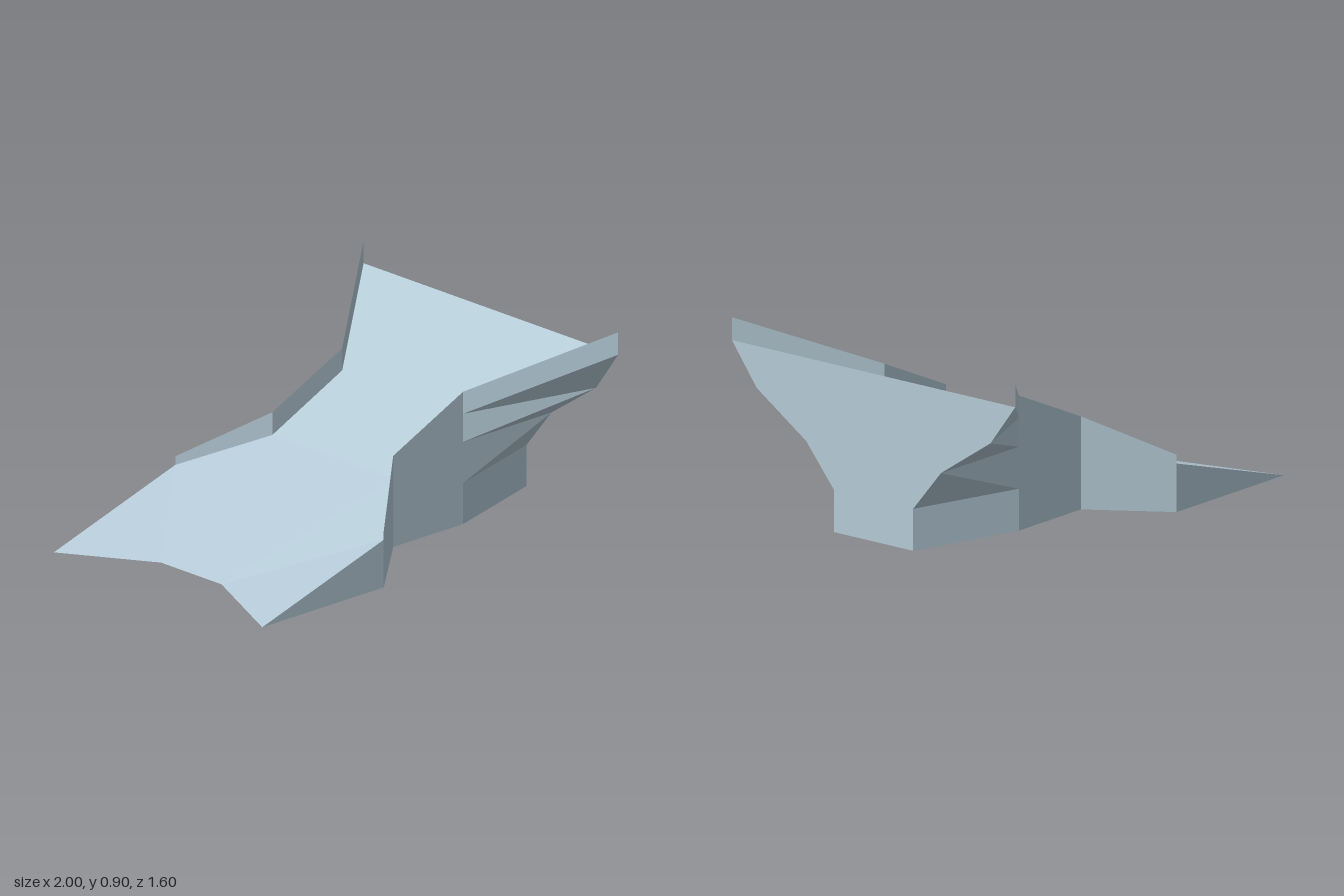
import * as THREE from 'three';

// Half-hull corner points (the +z half; the other half is mirrored)
const noseTip = [-1, 0, 0.655], notch = [-0.8, 0.025, 0.19];
const wingLow = [-0.27, 0, 0.655], wingDeck = [-0.27, 0.22, 0.655], wingRim = [-0.27, 0.26, 0.655];
const waistLow = [0.05, 0.033, 0.38], waistDeck = [0.05, 0.35, 0.38], waistRim = [0.05, 0.455, 0.38];
const hipLow = [0.47, 0.033, 0.38], hipA = [0.47, 0.223, 0.38], hipB = [0.47, 0.413, 0.38];
const hipDeck = [0.47, 0.543, 0.38], hipRim = [0.47, 0.645, 0.38];
const tailLow = [1, 0.033, 0.223], tailA = [1, 0.223, 0.223], tailB = [1, 0.415, 0.38];
const tailC = [1, 0.603, 0.66], tailDeck = [1, 0.793, 0.8], tailRim = [1, 0.897, 0.8];

// Point on the centre line level with p
const mid = ([x, y]) => [x, y, 0];

// Faces of the +z half, corners counter-clockwise from outside
const parts = {
  deck: [
    [noseTip, wingDeck, notch],
    [notch, wingDeck, waistDeck],
    [mid(notch), notch, waistDeck, mid(waistDeck)],
    [mid(waistDeck), waistDeck, hipDeck, mid(hipDeck)],
    [mid(hipDeck), hipDeck, tailDeck, mid(tailDeck)],
  ],
  sideWall: [
    [noseTip, wingLow, wingDeck],
    [wingLow, waistLow, waistRim, wingRim],
    [waistLow, hipLow, hipRim, waistRim],
  ],
  tailRim: [[hipDeck, tailDeck, tailRim, hipRim]],
  pleatedFlare: [
    [hipLow, tailLow, tailA, hipA],
    [hipA, tailA, tailB],
    [hipA, tailB, hipB],
    [hipB, tailB, tailC],
    [hipB, tailC, hipDeck],
    [hipDeck, tailC, tailDeck],
  ],
  underside: [
    [wingLow, noseTip, notch],
    [waistLow, wingLow, notch],
    [waistLow, notch, mid(notch), mid(waistLow)],
    [hipLow, waistLow, mid(waistLow), mid(hipLow)],
    [tailLow, hipLow, mid(hipLow), mid(tailLow)],
  ],
  tailFace: [[mid(tailDeck), tailDeck, tailC, tailB, tailA, tailLow, mid(tailLow)]],
};

// Fan-triangulates each face and its mirror image, with flat normals
function mirroredPanels(faces) {
  const positions = [];
  for (const face of faces) {
    const mirrored = face.map(([x, y, z]) => [x, y, -z]).reverse();
    // keep the same fan centre on the mirrored side
    mirrored.unshift(mirrored.pop());
    for (const f of [face, mirrored]) {
      for (let i = 1; i < f.length - 1; i++) positions.push(...f[0], ...f[i], ...f[i + 1]);
    }
  }
  const geometry = new THREE.BufferGeometry();
  geometry.setAttribute('position', new THREE.Float32BufferAttribute(positions, 3));
  geometry.computeVertexNormals();
  return geometry;
}

export function createModel() {
  const model = new THREE.Group();
  model.name = 'wingedHull';
  // Panels are open sheets and the rims show both faces
  const hullBlue = new THREE.MeshStandardMaterial({ color: 0xb4cad6, side: THREE.DoubleSide });
  hullBlue.name = 'pale blue grey';
  for (const [name, faces] of Object.entries(parts)) {
    const mesh = new THREE.Mesh(mirroredPanels(faces), hullBlue);
    mesh.name = name;
    model.add(mesh);
  }
  return model;
}
